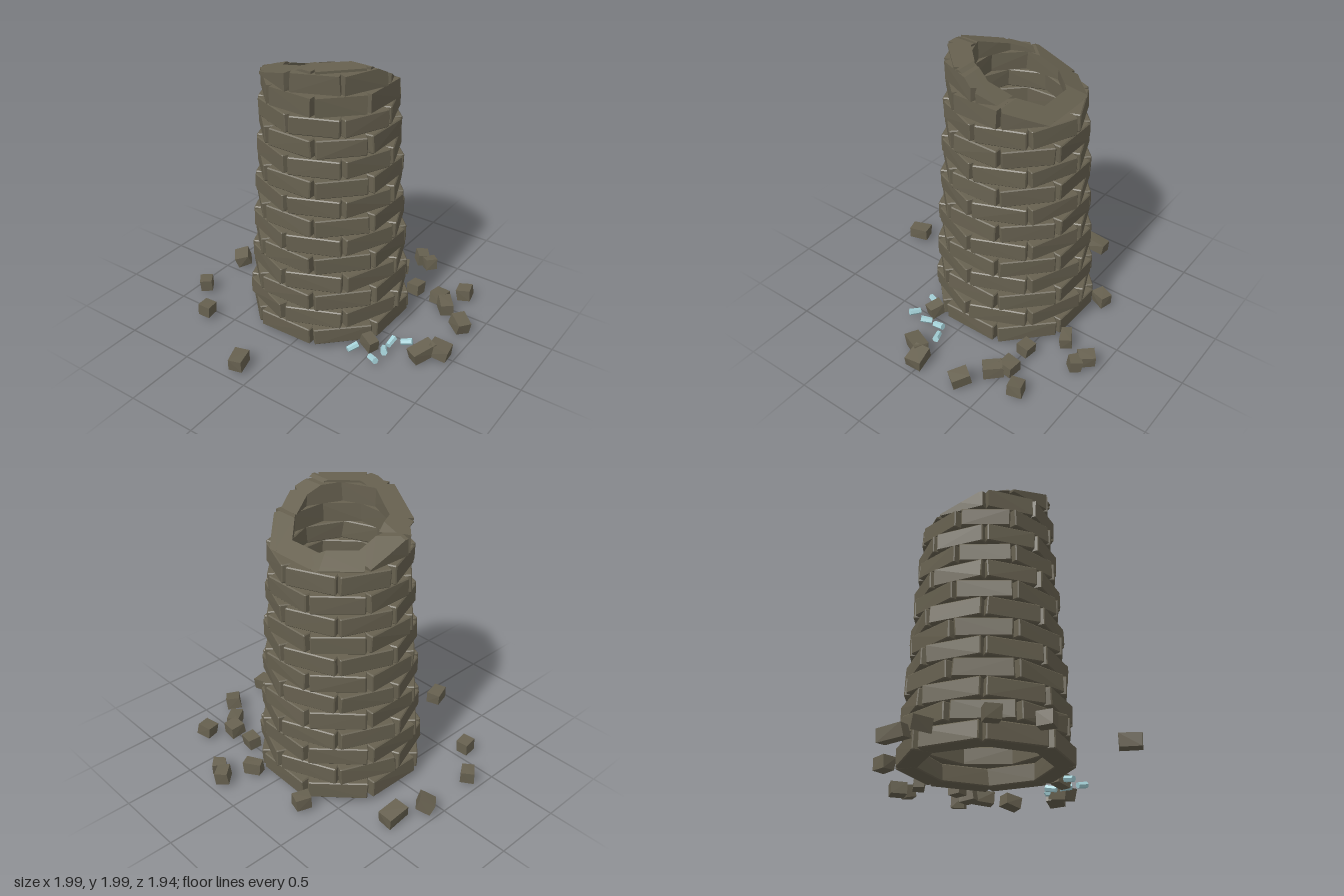
import * as THREE from 'three';
import { ConvexGeometry } from 'three/addons/geometries/ConvexGeometry.js';

const CX = -0.072, CZ = -0.08;      // tower axis
const COURSES = 15, BRICKS = 8, PITCH = 0.138, HEIGHT = 0.126;

let seed = 7;
const rand = () => {
  seed = (seed * 16807) % 2147483647;
  return seed / 2147483647 - 0.5;
};

// Slopes of the broken rim: height above the surface (positive = broken away)
const breaks = [
  p => p.y - 2.0,
  p => p.y - (1.97 + 0.55 * p.z),
  p => p.y - (1.995 + 0.345 * p.x),
  p => p.y - (1.98 + 0.35 * (p.x + p.z)),
];

// Corner points of a worn block; each corner is chamfered into three points
function blockPoints(w, h, d, chamfer, jitter) {
  const pts = [];
  for (const sx of [-1, 1]) for (const sy of [-1, 1]) for (const sz of [-1, 1]) {
    const c = new THREE.Vector3(
      sx * w / 2 + rand() * jitter, sy * h / 2 + rand() * jitter * 0.4, sz * d / 2 + rand() * jitter);
    if (!chamfer) { pts.push(c); continue; }
    pts.push(
      new THREE.Vector3(c.x, c.y - sy * chamfer, c.z - sz * chamfer),
      new THREE.Vector3(c.x - sx * chamfer, c.y, c.z - sz * chamfer),
      new THREE.Vector3(c.x - sx * chamfer, c.y - sy * chamfer, c.z));
  }
  return pts;
}

// Distinct hull corners of a point set
function hullPoints(pts) {
  const pos = new ConvexGeometry(pts).attributes.position;
  const seen = new Map();
  for (let i = 0; i < pos.count; i++) {
    const v = new THREE.Vector3().fromBufferAttribute(pos, i);
    seen.set(v.toArray().map(n => n.toFixed(4)).join(), v);
  }
  return [...seen.values()];
}

// Keep the part of a convex point set below one break surface
function clip(pts, over) {
  const kept = pts.filter(p => over(p) <= 0);
  if (kept.length === pts.length) return pts;
  if (!kept.length) return [];
  const cut = [];
  for (const a of kept) for (const b of pts) {
    const fa = over(a), fb = over(b);
    if (fb > 0) cut.push(a.clone().lerp(b, fa / (fa - fb)));
  }
  return hullPoints([...kept, ...cut]);
}

export function createModel() {
  const model = new THREE.Group();
  model.name = 'ruinedTower';
  const stone = new THREE.MeshStandardMaterial({ color: 0x676150 });
  stone.name = 'stone';
  const crystal = new THREE.MeshStandardMaterial({ color: 0xa6d3da });
  crystal.name = 'paleCrystal';

  const add = (parent, geometry, material, name) => {
    const mesh = new THREE.Mesh(geometry, material);
    mesh.name = name;
    parent.add(mesh);
    return mesh;
  };

  // Tower: tapering rings of eight bricks, every other ring turned half a brick
  const up = new THREE.Vector3(0, 1, 0);
  for (let i = 0; i < COURSES; i++) {
    const course = new THREE.Group();
    course.name = `course${i + 1}`;
    const apothem = 0.54 - 0.009 * i, depth = 0.14;
    const y = 0.115 + PITCH * i;
    for (let k = 0; k < BRICKS; k++) {
      const angle = (k + (i % 2) / 2) * Math.PI * 2 / BRICKS;
      let pts = blockPoints(apothem * 0.745, HEIGHT, depth, i < 12 ? 0.007 : 0, 0.01);
      const tilt = rand() * 0.03;
      for (const p of pts) {
        p.applyAxisAngle(up, tilt);
        p.z += apothem - depth / 2;
        p.applyAxisAngle(up, angle);
        p.add(new THREE.Vector3(CX, y, CZ));
      }
      if (i >= 12) for (const over of breaks) pts = clip(pts, over);
      if (pts.length > 3) add(course, new ConvexGeometry(pts), stone, 'brick');
    }
    model.add(course);
  }

  // Fallen rubble: x, z, width, depth, yaw
  const rubble = [
    [0.24, -0.9, 0.09, 0.11, 0.75], [0.33, -0.86, 0.08, 0.09, -0.7],
    [-0.33, -0.67, 0.09, 0.11, -0.35], [0.165, -0.69, 0.12, 0.08, 0.5],
    [0.73, -0.67, 0.1, 0.1, 0.25], [0.405, -0.52, 0.1, 0.09, -0.1],
    [0.605, -0.52, 0.11, 0.11, -0.05], [0.69, -0.45, 0.09, 0.13, 0.7],
    [0.88, -0.32, 0.12, 0.1, -0.6], [-0.83, -0.32, 0.105, 0.17, 0.05],
    [-0.91, -0.09, 0.11, 0.12, 0.65], [-0.91, 0.34, 0.09, 0.1, 0.7],
    [-0.69, 0.57, 0.09, 0.1, 0.1], [-0.135, 0.88, 0.1, 0.14, 0.3],
    [0.905, 0.02, 0.14, 0.11, 0.15], [0.82, 0.1, 0.1, 0.18, -0.45],
    [0.47, 0.22, 0.11, 0.08, -0.4],
  ];
  const fallen = new THREE.Group();
  fallen.name = 'rubble';
  rubble.forEach(([x, z, w, d, yaw], i) => {
    const block = add(fallen, new ConvexGeometry(blockPoints(w, 0.085, d, 0, 0.012)), stone, 'fallenStone');
    block.position.set(x, 0.08, z);
    block.rotation.set(rand() * 0.4, yaw, (i === 10 ? 0.35 : rand() * 0.4), 'YXZ');
  });
  model.add(fallen);

  // Crystal shards lying on the ground: x, z, yaw
  const shards = new THREE.Group();
  shards.name = 'crystals';
  const shard = new THREE.CylinderGeometry(0.021, 0.024, 0.08, 6).rotateZ(Math.PI / 2).toNonIndexed();
  shard.computeVertexNormals();
  for (const [x, z, yaw] of [
    [0.577, 0.11, 1.57], [0.665, 0.05, 0.4], [0.585, 0.215, -1.0], [0.392, 0.31, 1.1], [0.57, 0.335, -0.5],
  ]) {
    const mesh = add(shards, shard, crystal, 'crystalShard');
    mesh.position.set(x, 0.058, z);
    mesh.rotation.set(0, yaw, 0.2, 'YXZ');
  }
  model.add(shards);

  return model;
}
